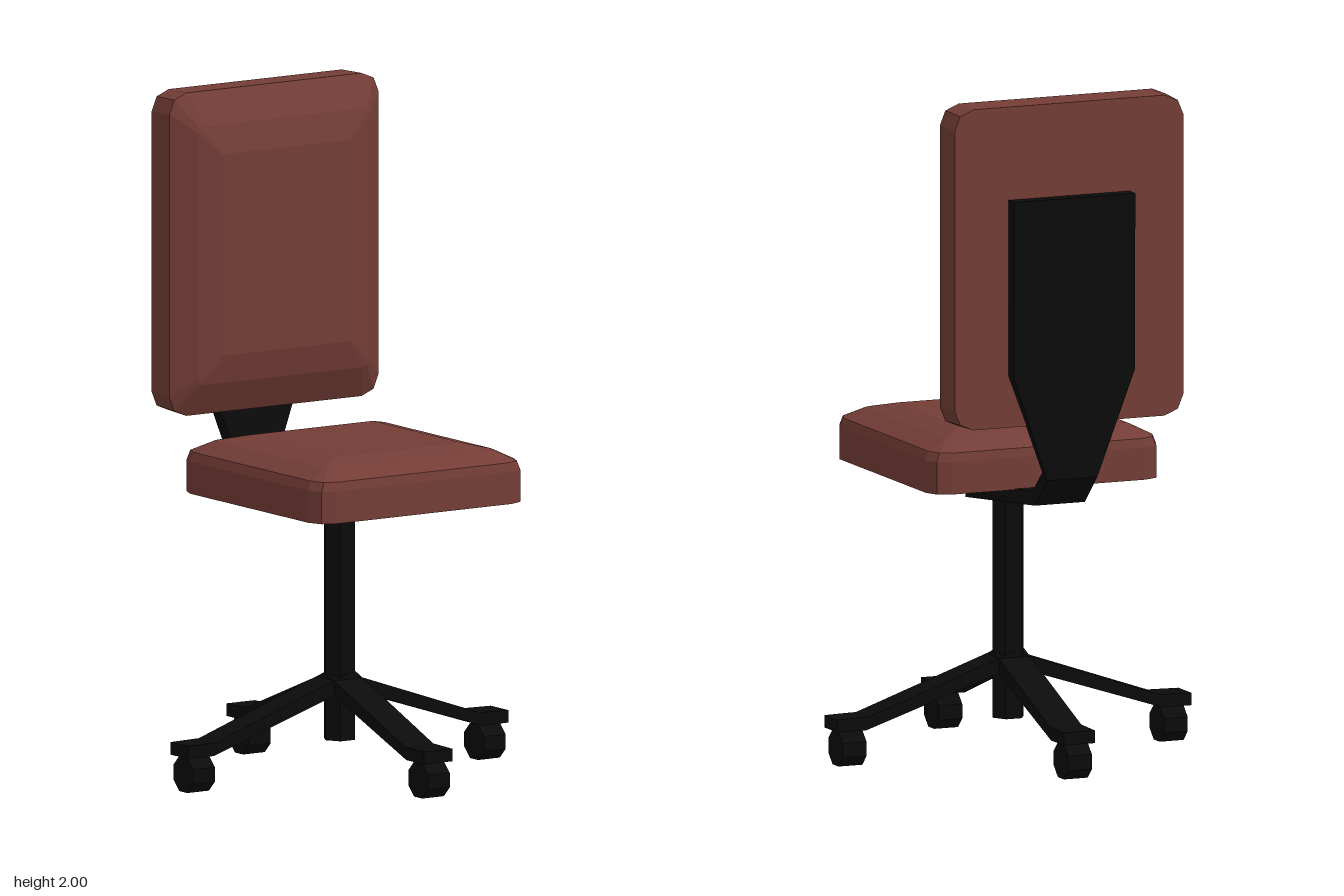
import * as THREE from 'three';

// Solid skinned through closed rings of points, with both ends capped
function loft(rings) {
  const pos = [];
  const tri = (a, b, c) => [a, b, c].forEach((p) => pos.push(...p));
  const n = rings[0].length;
  for (let i = 0; i < rings.length - 1; i++) {
    for (let j = 0; j < n; j++) {
      const k = (j + 1) % n;
      tri(rings[i][j], rings[i][k], rings[i + 1][k]);
      tri(rings[i][j], rings[i + 1][k], rings[i + 1][j]);
    }
  }
  const first = rings[0], last = rings[rings.length - 1];
  for (let j = 1; j < n - 1; j++) {
    tri(first[0], first[j + 1], first[j]);
    tri(last[0], last[j], last[j + 1]);
  }
  const geo = new THREE.BufferGeometry();
  geo.setAttribute('position', new THREE.Float32BufferAttribute(pos, 3));
  geo.computeVertexNormals();
  return geo;
}

// Rounded rectangle ring, three points per corner, facing +z
function roundedRing(hx, hy, radius, z) {
  const ring = [];
  [[1, 1], [-1, 1], [-1, -1], [1, -1]].forEach(([sx, sy], q) => {
    for (let s = 0; s < 3; s++) {
      const a = (q + s / 2) * Math.PI / 2;
      ring.push([
        sx * (hx - radius) + radius * Math.cos(a),
        sy * (hy - radius) + radius * Math.sin(a), z]);
    }
  });
  return ring;
}

export function createModel() {
  const upholstery = new THREE.MeshStandardMaterial({ color: 0x743d36, flatShading: true });
  upholstery.name = 'brown upholstery';
  const black = new THREE.MeshStandardMaterial({ color: 0x0b0b0b, flatShading: true });
  black.name = 'black frame';

  const chair = new THREE.Group();
  chair.name = 'officeChair';
  const add = (name, geo, mat, x = 0, y = 0, z = 0) => {
    const mesh = new THREE.Mesh(geo, mat);
    mesh.name = name;
    mesh.position.set(x, y, z);
    chair.add(mesh);
    return mesh;
  };

  // Seat cushion: rings stacked upwards
  const seat = loft([
    roundedRing(0.368, 0.368, 0.06, 0.835),
    roundedRing(0.368, 0.368, 0.06, 0.93),
    roundedRing(0.358, 0.364, 0.06, 0.957),
    roundedRing(0.297, 0.297, 0.02, 0.988),
    roundedRing(0.222, 0.225, 0.005, 1.006),
  ]);
  seat.rotateX(-Math.PI / 2);
  add('seat', seat, upholstery, 0, 0, 0.073);

  // Backrest cushion: rings stacked forwards
  add('backrest', loft([
    roundedRing(0.365, 0.475, 0.06, -0.438),
    roundedRing(0.369, 0.478, 0.06, -0.34),
    roundedRing(0.3, 0.383, 0.02, -0.291),
    roundedRing(0.225, 0.298, 0.005, -0.271),
  ]), upholstery, 0, 1.523, 0);

  // Bent support plate: half width, inner y, inner z, outer y, outer z
  add('backSupport', loft([
    [0.193, 0.836, -0.128, 0.793, -0.128],
    [0.08, 0.838, -0.355, 0.798, -0.372],
    [0.08, 0.905, -0.425, 0.886, -0.461],
    [0.193, 1.2, -0.438, 1.2, -0.477],
    [0.193, 1.722, -0.438, 1.722, -0.48],
  ].map(([w, yi, zi, yo, zo]) => [[-w, yi, zi], [w, yi, zi], [w, yo, zo], [-w, yo, zo]])), black);

  // Hexagonal column with a coloured cap underneath
  const column = new THREE.CylinderGeometry(0.05, 0.05, 0.73, 6);
  column.rotateY(Math.PI / 6);
  add('column', column, black, 0, 0.473, 0);
  const cap = new THREE.CircleGeometry(0.048, 6);
  cap.rotateX(Math.PI / 2);
  add('columnCap', cap, upholstery, 0, 0.106, 0);

  // Four sloping legs, each ending in a flat foot
  const addLeg = (name, reach, width, angle) => {
    const profile = [[0, 0.262], [reach - 0.092, 0.108], [reach, 0.108],
      [reach, 0.145], [reach - 0.1, 0.147], [0, 0.308]];
    const shape = new THREE.Shape(profile.map(([x, y]) => new THREE.Vector2(x, y)));
    const geo = new THREE.ExtrudeGeometry(shape, { depth: width, bevelEnabled: false });
    geo.translate(0, 0, -width / 2);
    geo.rotateY(angle);
    add(name, geo, black);
  };
  addLeg('leftLeg', 0.565, 0.092, 0);
  addLeg('backLeg', 0.513, 0.1, Math.PI / 2);
  addLeg('rightLeg', 0.565, 0.092, Math.PI);
  addLeg('frontLeg', 0.513, 0.1, -Math.PI / 2);

  // Casters all roll front to back
  const wheel = new THREE.CylinderGeometry(0.056, 0.056, 0.076, 8);
  wheel.rotateY(Math.PI / 8);
  wheel.rotateZ(Math.PI / 2);
  [['left', 0.513, 0], ['right', -0.513, 0], ['front', 0, 0.465], ['back', 0, -0.465]]
    .forEach(([side, x, z]) => add(side + 'Caster', wheel, black, x, 0.054, z));

  // Rest the casters on the ground
  const box = new THREE.Box3().setFromObject(chair);
  chair.children.forEach((m) => { m.position.y -= box.min.y; });
  return chair;
}
